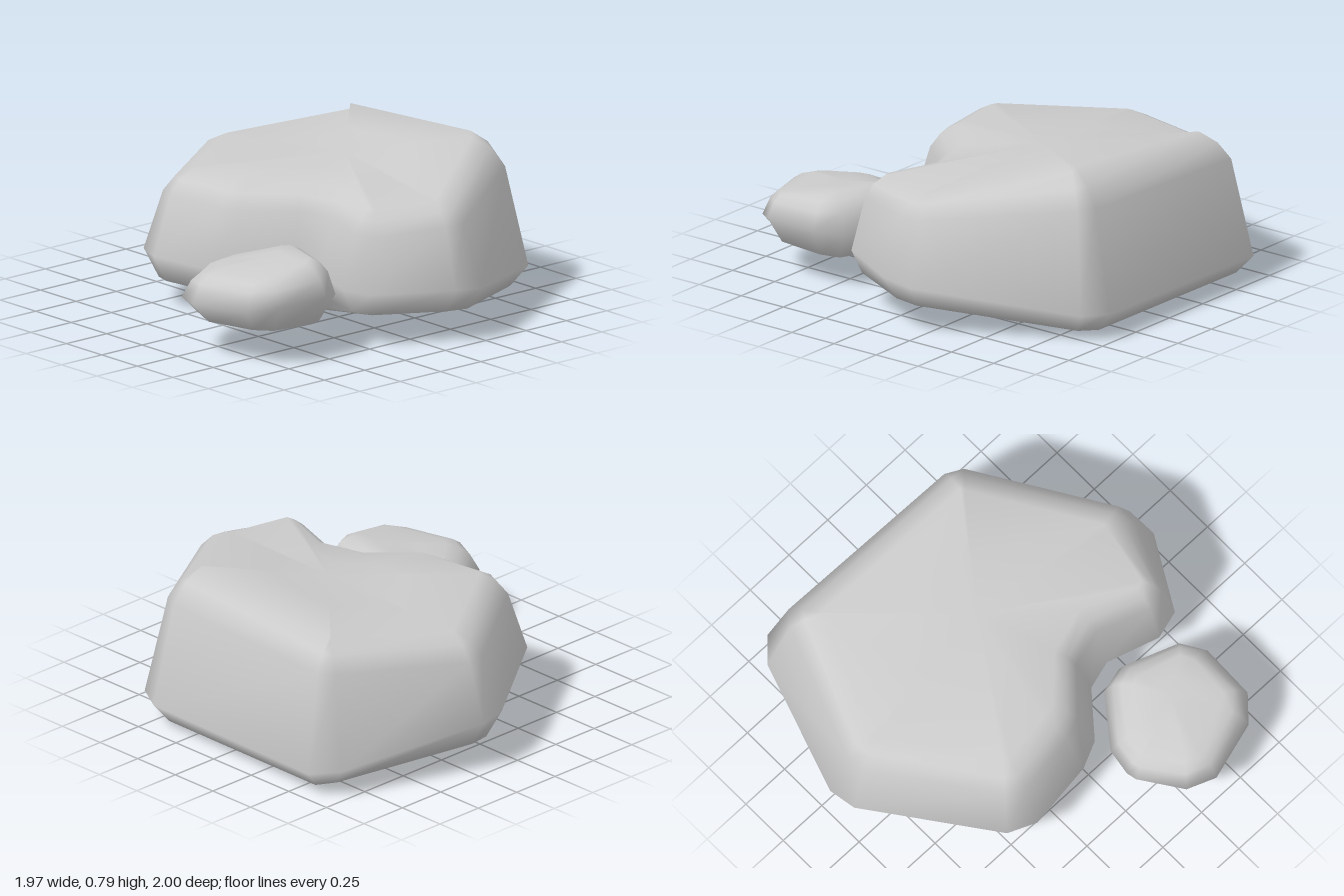
import * as THREE from 'three';
import { mergeVertices } from 'three/addons/utils/BufferGeometryUtils.js';

const lerp = THREE.MathUtils.lerp;

// Outline points: [x, z, low y, widest y, shoulder y, top y, bevel scale]
const bigOutline = [
  [-0.63, -1.00, 0.04, 0.13, 0.60, 0.72, 1.2],
  [0.42, -0.98, 0.03, 0.13, 0.62, 0.785, 1.2],
  [0.55, -0.91, 0.04, 0.14, 0.62, 0.76, 1.2],
  [0.98, -0.24, 0.14, 0.25, 0.55, 0.65, 1.1],
  [0.98, -0.08, 0.15, 0.27, 0.55, 0.64, 1.1],
  [0.78, 0.27, 0.16, 0.27, 0.53, 0.64, 0.7],
  [0.64, 0.31, 0.16, 0.27, 0.53, 0.64, 0.7],
  [0.38, 0.23, 0.14, 0.27, 0.54, 0.645, 0.8],
  [0.24, 0.27, 0.13, 0.27, 0.54, 0.645, 0.8],
  [0.07, 0.47, 0.13, 0.26, 0.54, 0.65, 0.9],
  [-0.06, 0.53, 0.13, 0.26, 0.54, 0.65, 1],
  [-0.40, 0.575, 0.13, 0.26, 0.54, 0.65, 1],
  [-0.54, 0.515, 0.12, 0.26, 0.54, 0.65, 1],
  [-0.965, -0.07, 0.12, 0.26, 0.53, 0.64, 1.1],
  [-0.985, -0.21, 0.12, 0.25, 0.53, 0.64, 1.1],
  [-0.735, -0.89, 0.05, 0.14, 0.59, 0.70, 1.2],
];
const smallOutline = [
  [0.27, 0.325, 0.15, 0.27, 0.38, 0.45, 0.8],
  [0.40, 0.29, 0.14, 0.26, 0.39, 0.46, 0.8],
  [0.68, 0.40, 0.15, 0.28, 0.39, 0.46, 0.7],
  [0.75, 0.52, 0.16, 0.30, 0.38, 0.45, 0.7],
  [0.74, 0.80, 0.17, 0.30, 0.37, 0.42, 0.7],
  [0.64, 0.91, 0.17, 0.27, 0.36, 0.41, 0.8],
  [0.35, 0.995, 0.17, 0.27, 0.36, 0.41, 0.9],
  [0.21, 0.94, 0.17, 0.27, 0.35, 0.41, 0.9],
  [0.075, 0.74, 0.17, 0.27, 0.33, 0.40, 0.8],
  [0.065, 0.69, 0.17, 0.27, 0.33, 0.40, 0.8],
  [0.085, 0.56, 0.16, 0.28, 0.34, 0.41, 0.8],
];

// Moves each outline point inward along its averaged edge normal
function inset(outline, distance, height) {
  const n = outline.length;
  return outline.map((p, i) => {
    const a = outline[(i + n - 1) % n], b = outline[(i + 1) % n];
    const e1 = new THREE.Vector2(p[0] - a[0], p[1] - a[1]).normalize();
    const e2 = new THREE.Vector2(b[0] - p[0], b[1] - p[1]).normalize();
    const t = e1.add(e2).normalize();
    const d = distance * p[6];
    return [p[0] - t.y * d, height(p), p[1] + t.x * d];
  });
}

// Draws a ring together toward a pole
const shrink = (ring, pole, t, ty) => ring.map(([x, y, z]) =>
  [lerp(x, pole[0], t), lerp(y, pole[1], ty), lerp(z, pole[2], t)]);

// Skins the stacked rings of a bevelled boulder, closed at both poles
function boulder(name, outline, bottom, top, bevel) {
  const low = inset(outline, bevel[0], p => p[2]);
  const wide = inset(outline, 0, p => p[3]);
  const shoulder = inset(outline, bevel[1], p => p[4]);
  const curve = inset(outline, bevel[2], p => lerp(p[4], p[5], 0.62));
  const crown = inset(outline, bevel[3], p => p[5]);
  const rings = [
    shrink(low, bottom, 1, 1), shrink(low, bottom, 0.5, 0.65),
    low, wide, shoulder, curve, crown,
    shrink(crown, top, 0.5, 0.5), shrink(crown, top, 1, 1),
  ];
  const n = outline.length, index = [];
  for (let r = 0; r < rings.length - 1; r++) {
    for (let i = 0; i < n; i++) {
      const a = r * n + i, b = r * n + (i + 1) % n;
      const c = b + n, d = a + n;
      if (r > 0) index.push(b, a, d);
      if (r === 0) index.push(b, d, c);
      else if (r < rings.length - 2) index.push(b, d, c);
    }
  }
  let geometry = new THREE.BufferGeometry();
  geometry.setAttribute('position', new THREE.Float32BufferAttribute(rings.flat(2), 3));
  geometry.setIndex(index);
  geometry = mergeVertices(geometry, 1e-5);
  geometry.computeVertexNormals();
  const mesh = new THREE.Mesh(geometry, new THREE.MeshStandardMaterial({ color: 0xcccccc }));
  mesh.name = name;
  return mesh;
}

export function createModel() {
  const group = new THREE.Group();
  group.name = 'rocks';
  group.add(
    boulder('largeRock', bigOutline, [-0.18, 0, -0.05], [0, 0.7, -0.25], [0.07, 0.09, 0.145, 0.22]),
    boulder('smallRock', smallOutline, [0.42, 0.13, 0.6], [0.43, 0.445, 0.6], [0.11, 0.05, 0.1, 0.17]),
  );
  return group;
}
